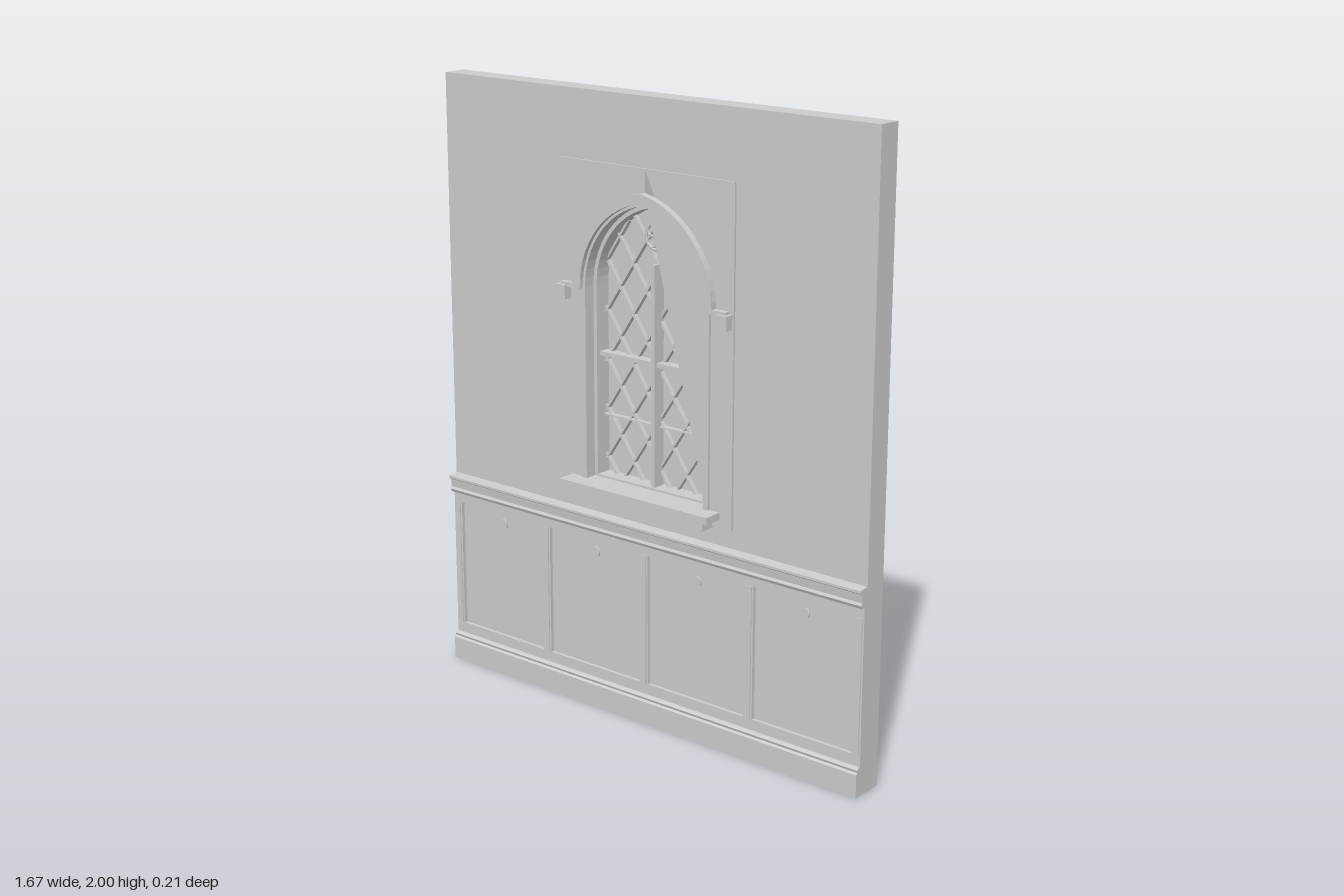
import * as THREE from 'three';

const stone = new THREE.MeshStandardMaterial({ color: 0xcccccc });
stone.name = 'stone grey';
const sheet = new THREE.MeshStandardMaterial({ color: 0xcccccc, side: THREE.DoubleSide });
sheet.name = 'thin sheet grey';

const rect = (x0, y0, x1, y1) => [[x0, y0], [x1, y0], [x1, y1], [x0, y1]].map(p => new THREE.Vector2(...p));

// Pointed arch from right springing to left springing: half width w, rise h
function archPoints(w, h, spring, n = 14) {
  const c = (h * h - w * w) / (2 * w), r = w + c;
  const end = Math.atan2(h, c);
  const right = [];
  for (let i = 0; i <= n; i++) {
    const a = end * i / n;
    right.push(new THREE.Vector2(r * Math.cos(a) - c, spring + r * Math.sin(a)));
  }
  const left = right.slice(0, -1).reverse().map(p => new THREE.Vector2(-p.x, p.y));
  return [...right, ...left];
}
const archOutline = (w, h, spring, base) =>
  [new THREE.Vector2(-w, base), new THREE.Vector2(w, base), ...archPoints(w, h, spring)];

export function createModel() {
  const model = new THREE.Group();
  model.name = 'panelledWallWithWindow';

  const add = (name, geometry, parent = model, material = stone) => {
    const mesh = new THREE.Mesh(geometry, material);
    mesh.name = name;
    parent.add(mesh);
    return mesh;
  };
  const group = name => {
    const g = new THREE.Group();
    g.name = name;
    model.add(g);
    return g;
  };
  const box = (name, x0, x1, y0, y1, z0, z1, parent) => {
    const m = add(name, new THREE.BoxGeometry(x1 - x0, y1 - y0, z1 - z0), parent);
    m.position.set((x0 + x1) / 2, (y0 + y1) / 2, (z0 + z1) / 2);
    return m;
  };
  const plate = (name, outline, holes, z0, z1, parent) => {
    const shape = new THREE.Shape(outline);
    holes.forEach(h => shape.holes.push(new THREE.Path(h)));
    const g = new THREE.ExtrudeGeometry(shape, { depth: z1 - z0, bevelEnabled: false });
    return add(name, g.translate(0, 0, z0), parent);
  };
  // Moulding running along x; profile points are [z, y]
  const moulding = (name, profile, x0, x1, parent) => {
    const shape = new THREE.Shape(profile.map(([z, y]) => new THREE.Vector2(-z, y)));
    const g = new THREE.ExtrudeGeometry(shape, { depth: x1 - x0, bevelEnabled: false });
    return add(name, g.rotateY(Math.PI / 2).translate(x0, 0, 0), parent);
  };

  // Wall with a rectangular opening behind the window surround
  const W = 0.833;
  plate('wall', rect(-W, 0, W, 2), [rect(-0.335, 0.725, 0.335, 1.78)], -0.05, 0.03);

  // Wainscot
  const wainscot = group('wainscot');
  moulding('baseboard', [[0.03, 0], [0.06, 0], [0.06, 0.075], [0.053, 0.08], [0.056, 0.088], [0.048, 0.095], [0.03, 0.095]], -W, W, wainscot);
  box('bottomRail', -W, W, 0.09, 0.13, 0.03, 0.042, wainscot);
  box('topRail', -W, W, 0.565, 0.605, 0.03, 0.042, wainscot);
  moulding('chairRail', [[0.03, 0.6], [0.055, 0.6], [0.06, 0.61], [0.055, 0.618], [0.058, 0.645], [0.066, 0.65], [0.066, 0.658], [0.03, 0.662]], -W, W, wainscot);
  [[-W, -0.8], [-0.434, -0.4], [-0.02, 0.015], [0.395, 0.43], [0.8, W]].forEach(([a, b]) => {
    box('stile', a, b, 0.13, 0.565, 0.03, 0.042, wainscot);
    box('stileBead', a + 0.006, b - 0.006, 0.13, 0.565, 0.042, 0.045, wainscot);
  });
  for (const x of [-0.615, -0.21, 0.205, 0.615]) {
    const disc = add('panelRoundel', new THREE.CylinderGeometry(0.017, 0.017, 0.006, 16), wainscot);
    disc.rotation.x = Math.PI / 2;
    disc.position.set(x, 0.525, 0.032);
  }

  // Window surround, with a narrow slit above the arch
  const win = group('window');
  const spring = 1.39, base = 0.765;
  const slit = [[0.002, 1.78], [0.002, 1.695], [0.044, 1.695]].map(p => new THREE.Vector2(...p));
  plate('surround', rect(-0.34, 0.72, 0.34, 1.785),
    [archOutline(0.235, 0.285, spring, base), slit], -0.066, 0.037, win);

  // Sheet covering the right part of the opening
  const arc = archPoints(0.236, 0.286, spring);
  const cover = new THREE.Shape([new THREE.Vector2(0.235, base), ...arc.slice(0, arc.length / 2 + 1)]);
  add('coverSheet', new THREE.ShapeGeometry(cover).translate(0, 0, 0.025), win, sheet);

  // Jamb trim, inner frame and hood mould
  plate('jambTrim', archOutline(0.255, 0.3, spring, base), [archOutline(0.234, 0.284, spring, base + 0.001)], 0.03, 0.045, win);
  plate('innerFrame', archOutline(0.235, 0.285, spring, base), [archOutline(0.222, 0.272, spring, base + 0.012)], -0.05, 0.005, win);
  plate('hoodMould', [...archPoints(0.275, 0.322, spring), ...archPoints(0.243, 0.292, spring).reverse()], [], 0.035, 0.06, win);
  for (const s of [-1, 1]) {
    const a = s < 0 ? -0.325 : 0.245, b = s < 0 ? -0.245 : 0.325;
    box('hoodReturn', a, b, 1.385, 1.4, 0.035, 0.058, win);
    const x = s * 0.317;
    box('labelStop', x - 0.017, x + 0.017, 1.345, 1.385, 0.035, 0.066, win);
    box('labelStopCap', x - 0.02, x + 0.02, 1.378, 1.392, 0.035, 0.07, win);
  }

  // Sill
  box('sill', -0.3, 0.295, 0.747, 0.77, 0.0, 0.102, win);
  box('sillApron', -0.27, 0.265, 0.715, 0.747, 0.03, 0.086, win);

  // Mullion, crossbars and pierced rosette
  box('mullion', -0.007, 0.007, base, 1.485, -0.045, 0.0, win);
  box('crossbar', -0.225, 0.225, 1.164, 1.178, -0.045, -0.01, win);
  box('lowerBar', -0.225, 0.225, 0.968, 0.972, -0.045, -0.025, win);
  const ring = (r, t, x, y) => add('rosetteRing', new THREE.TorusGeometry(r, t, 6, 20), win).position.set(x, y, -0.02);
  ring(0.042, 0.005, 0, 1.57);
  for (let i = 0; i < 4; i++) {
    const a = i * Math.PI / 2 + Math.PI / 4;
    ring(0.017, 0.004, 0.025 * Math.cos(a), 1.57 + 0.025 * Math.sin(a));
  }

  // Diamond leading, each strip trimmed to the arch
  const c = (0.275 ** 2 - 0.225 ** 2) / 0.45;
  const inside = (x, y) => y > base && (y < spring ? Math.abs(x) < 0.225
    : Math.hypot(Math.abs(x) + c, y - spring) < 0.225 + c);
  const slope = 1.5;
  for (const s of [-1, 1]) {
    for (let y0 = 0.51; y0 < 2; y0 += 0.16) {
      const xs = [];
      for (let x = -0.225; x <= 0.225; x += 0.005) if (inside(x, y0 + s * slope * x)) xs.push(x);
      if (xs.length < 3) continue;
      const a = xs[0], b = xs[xs.length - 1], m = (a + b) / 2;
      const strip = add('leadStrip', new THREE.BoxGeometry((b - a) * Math.hypot(1, slope), 0.007, 0.016), win);
      strip.position.set(m, y0 + s * slope * m, -0.04);
      strip.rotation.z = Math.atan(s * slope);
    }
  }

  // Flat pane behind the opening
  add('backPane', new THREE.PlaneGeometry(0.545, 0.98), win, sheet).position.set(-0.002, 1.22, -0.105);

  return model;
}
